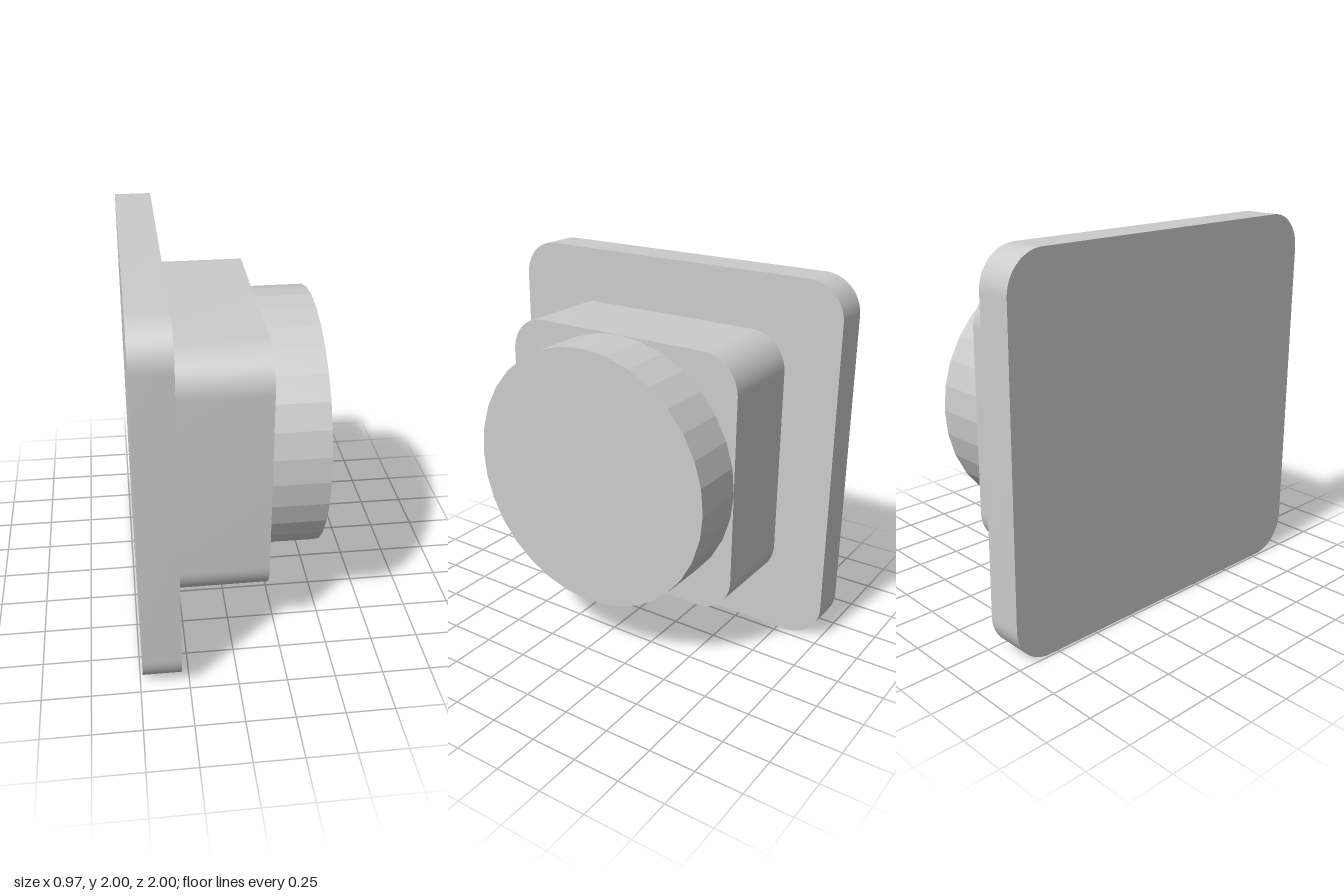
import * as THREE from 'three';
import { toCreasedNormals } from 'three/addons/utils/BufferGeometryUtils.js';

// Square slab with rounded corners, lying across x from x0 to x1
function roundedSlab(name, size, radius, x0, x1, material) {
  const h = size / 2, c = h - radius;
  const shape = new THREE.Shape();
  shape.absarc(c, c, radius, 0, Math.PI / 2);
  shape.absarc(-c, c, radius, Math.PI / 2, Math.PI);
  shape.absarc(-c, -c, radius, Math.PI, Math.PI * 1.5);
  shape.absarc(c, -c, radius, Math.PI * 1.5, Math.PI * 2);
  shape.closePath();
  const geometry = new THREE.ExtrudeGeometry(shape, { depth: x1 - x0, bevelEnabled: false, curveSegments: 12 });
  geometry.rotateY(Math.PI / 2);
  const mesh = new THREE.Mesh(toCreasedNormals(geometry, Math.PI / 6), material);
  mesh.name = name;
  mesh.position.set(x0, 1, 0);
  return mesh;
}

export function createModel() {
  const group = new THREE.Group();
  group.name = 'wallButton';
  const smooth = new THREE.MeshStandardMaterial({ color: 0xcccccc });
  const faceted = new THREE.MeshStandardMaterial({ color: 0xcccccc, flatShading: true });

  // Mounting plate and the housing standing on it
  group.add(roundedSlab('backPlate', 2, 0.2, -0.487, -0.29, smooth));
  group.add(roundedSlab('housing', 1.4, 0.2, -0.29, 0.193, smooth));

  // Round push button with faceted sides
  const geometry = new THREE.CylinderGeometry(0.7, 0.7, 0.294, 32);
  geometry.rotateZ(-Math.PI / 2);
  const button = new THREE.Mesh(geometry, faceted);
  button.name = 'button';
  button.position.set(0.34, 1, 0);
  group.add(button);

  return group;
}
